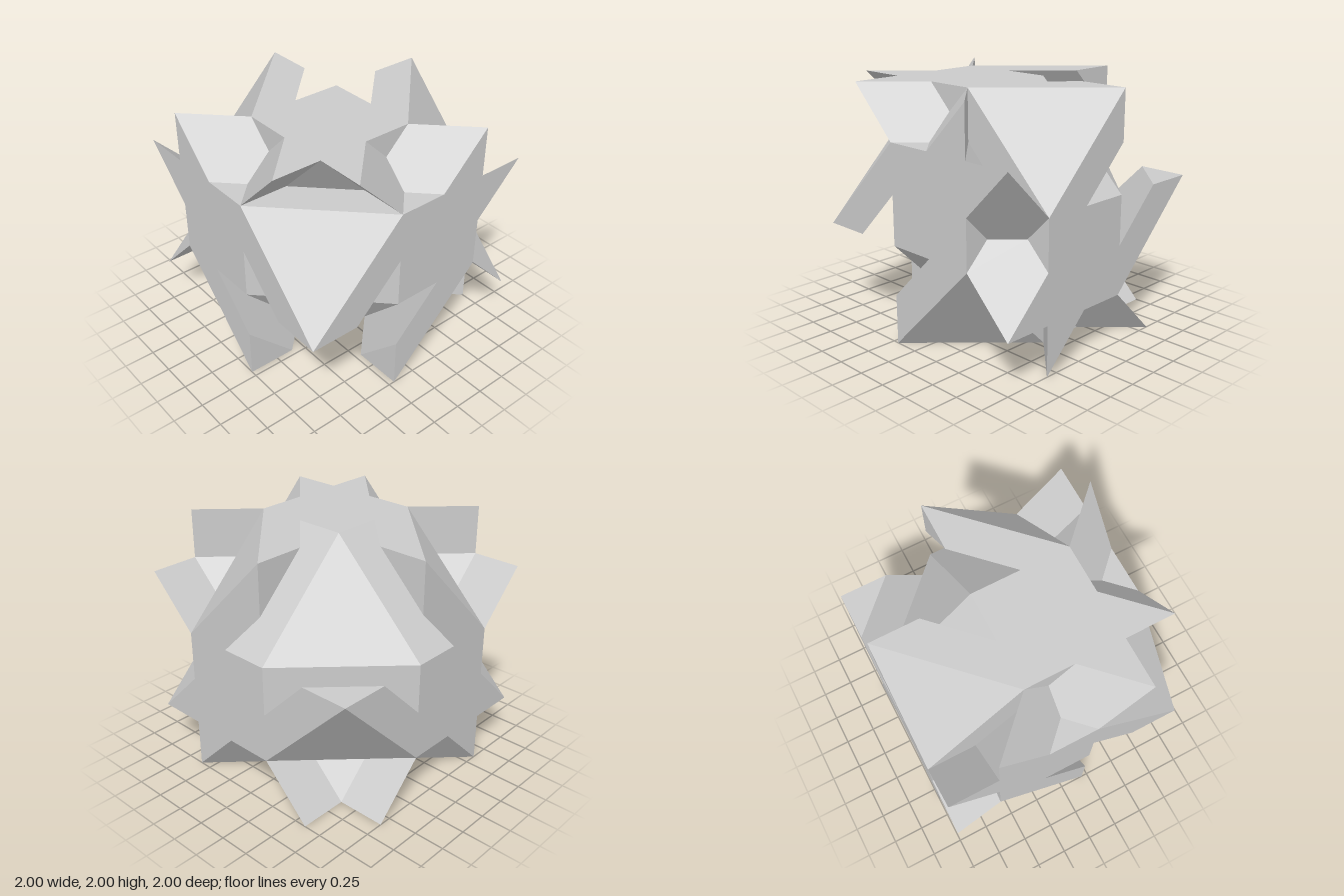
import * as THREE from 'three';

// The twelve symmetries are powers of a six-fold rotary reflection, with or without a diagonal mirror.
const turn = ([x, y, z]) => [z, -x, y];
const mirror = ([x, y, z]) => [y, x, z];

// Completes an outline by mirroring the points that lie off the diagonal plane x = y.
function mirrored(half) {
  return [...half, ...half.filter(([x, y]) => x !== y).reverse().map(mirror)];
}

// All distinct copies of a face, each wound so that it faces outwards.
function copies(outline) {
  const found = new Map();
  for (const flip of [false, true]) {
    let face = flip ? outline.map(mirror) : outline;
    for (let k = 0; k < 6; k++) {
      const key = face.map((p) => p.join()).sort().join(';');
      if (!found.has(key)) found.set(key, { face, reversed: (k % 2 === 1) !== flip });
      face = face.map(turn);
    }
  }
  return [...found.values()];
}

// One mesh for all copies of a face, given counter-clockwise on a grid from -5 to 5.
function faceSet(name, outline, material) {
  const flat = outline.map(([x, y]) => new THREE.Vector2(x, y));
  const triangles = THREE.ShapeUtils.triangulateShape(flat, []);
  const positions = [];
  for (const { face, reversed } of copies(outline)) {
    for (const [a, b, c] of triangles) {
      for (const i of reversed ? [a, c, b] : [a, b, c]) {
        const [x, y, z] = face[i];
        positions.push(x * 0.2, y * 0.2 + 1, z * 0.2);
      }
    }
  }
  const geometry = new THREE.BufferGeometry();
  geometry.setAttribute('position', new THREE.Float32BufferAttribute(positions, 3));
  geometry.computeVertexNormals();
  const mesh = new THREE.Mesh(geometry, material);
  mesh.name = name;
  return mesh;
}

export function createModel() {
  const group = new THREE.Group();
  group.name = 'spikedPolyhedron';
  const material = new THREE.MeshStandardMaterial({ color: 0xcccccc, flatShading: true });
  const add = (name, outline) => group.add(faceSet(name, outline, material));

  // Spiked star on each side of the cube
  const starHalf = [[3, 3], [3, 5], [1, 3], [-1, 3], [-5, -1], [-3, -1], [-1, 1], [-1, -1]];
  add('cubeFace', mirrored(starHalf.map(([x, y]) => [x, y, 5])));

  // Large triangles cutting six corners
  add('cornerTriangle', mirrored([[5, 5, -1], [1, 5, 3]]));

  // Bevels and small notches along the edges
  add('spikeSlope', [[-1, 3, 5], [0, 3, 4], [0, 4, 3], [-1, 5, 3], [-3, 5, 5]]);
  add('edgeNotch', [[-1, 5, 3], [0, 4, 3], [1, 5, 3]]);

  // Hollows between pairs of spikes
  add('spikeUnderside', [[-5, 3, 1], [-3, 3, 1], [-3, 5, 3], [-5, 5, 3]]);
  add('notchBack', [[-3, 5, 3], [-3, 3, 1], [-1, 3, 3]]);
  add('notchFloor', mirrored([[1, 5, 3], [1, 3, 3]]));

  // Pits at the two remaining corners, ringed by long points
  add('pointEnd', mirrored([[-5, -5, 1], [-3, -5, 1]]));
  add('pitSlope', mirrored([[-3, -5, 1], [-1, -5, -1]]));
  add('pitWall', [[-1, -1, 5], [-1, 1, 5], [-5, 1, 1], [-5, -1, 1]]);
  add('pitFloor', mirrored([[-1, -1, 5], [-5, -1, 1]]));

  return group;
}
